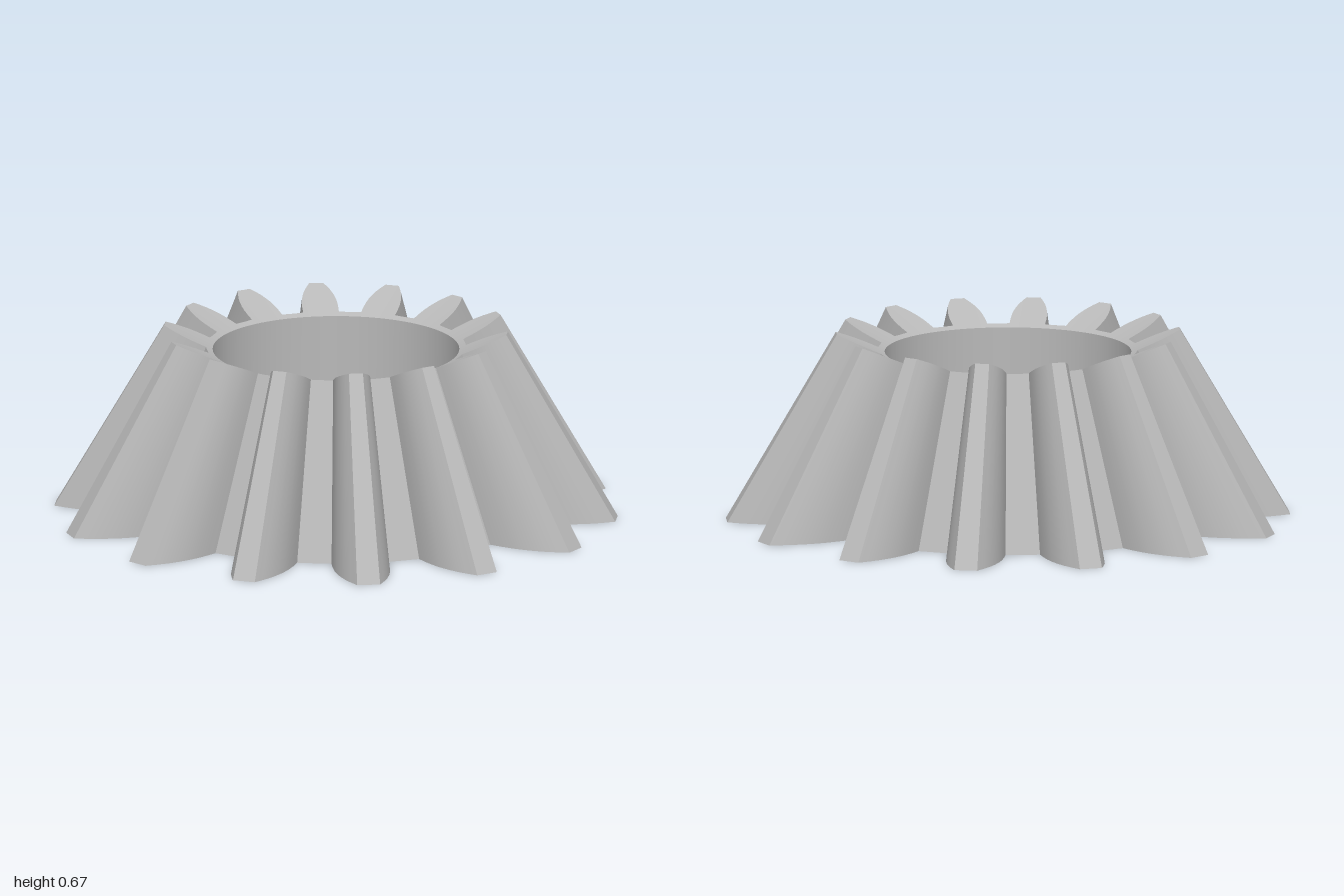
import * as THREE from 'three';
import { toCreasedNormals } from 'three/addons/utils/BufferGeometryUtils.js';

const TEETH = 14;
const APEX = 1.718; // height where all tooth lines meet
const BORE = 0.437;
// Half tooth at the base, root to tip: [radial distance, half width]
const FLANK = [[0.705, 0.098], [0.75, 0.1], [0.8, 0.099], [0.84, 0.095], [0.88, 0.087], [0.92, 0.076], [0.96, 0.06], [1, 0.041]];

// Height of the conical end face at a given radius
const endHeight = (r) => 0.605 + 0.433 * (r - 0.46);

// Closed toothed outline on y = 0
function baseOutline() {
  const half = FLANK.map(([r, w]) => [r, w]);
  const tooth = [...half.map(([r, w]) => [r, -w]), [1, 0], ...half.reverse()];
  const corners = [];
  for (let i = 0; i < TEETH; i++) {
    const a = (i / TEETH) * Math.PI * 2;
    for (const [r, w] of tooth) {
      corners.push(new THREE.Vector3(w * Math.cos(a) + r * Math.sin(a), 0, r * Math.cos(a) - w * Math.sin(a)));
    }
  }
  // Split each valley floor in three so the bore stays round
  const n = tooth.length;
  return corners.flatMap((p, i) => {
    const next = corners[(i + 1) % corners.length];
    return (i + 1) % n ? [p] : [p, p.clone().lerp(next, 1 / 3), p.clone().lerp(next, 2 / 3)];
  });
}

// Band of faces between two closed rings
function band(name, a, b, material) {
  const pos = [];
  a.forEach((p, i) => {
    const j = (i + 1) % a.length;
    for (const v of [p, a[j], b[j], p, b[j], b[i]]) pos.push(v.x, v.y, v.z);
  });
  const geometry = new THREE.BufferGeometry();
  geometry.setAttribute('position', new THREE.Float32BufferAttribute(pos, 3));
  const mesh = new THREE.Mesh(toCreasedNormals(geometry, 0.4), material);
  mesh.name = name;
  return mesh;
}

export function createModel() {
  const steel = new THREE.MeshStandardMaterial({ color: 0xb8b8b8 });
  steel.name = 'steel grey';

  const outline = baseOutline();
  // Shrink the outline towards the apex until it meets the end cone
  const endOutline = outline.map((p) => {
    const r = Math.hypot(p.x, p.z);
    const s = (APEX - endHeight(0)) / (APEX + 0.433 * r);
    return new THREE.Vector3(p.x * s, APEX * (1 - s), p.z * s);
  });
  const boreRing = (y) => outline.map((p) => p.clone().setLength(BORE).setY(y));
  const boreBottom = boreRing(0);
  const boreTop = boreRing(endHeight(BORE));

  const gear = new THREE.Group();
  gear.name = 'bevelGear';
  gear.add(
    band('teeth', outline, endOutline, steel),
    band('endFace', endOutline, boreTop, steel),
    band('bore', boreTop, boreBottom, steel),
    band('baseFace', boreBottom, outline, steel),
  );
  return gear;
}
